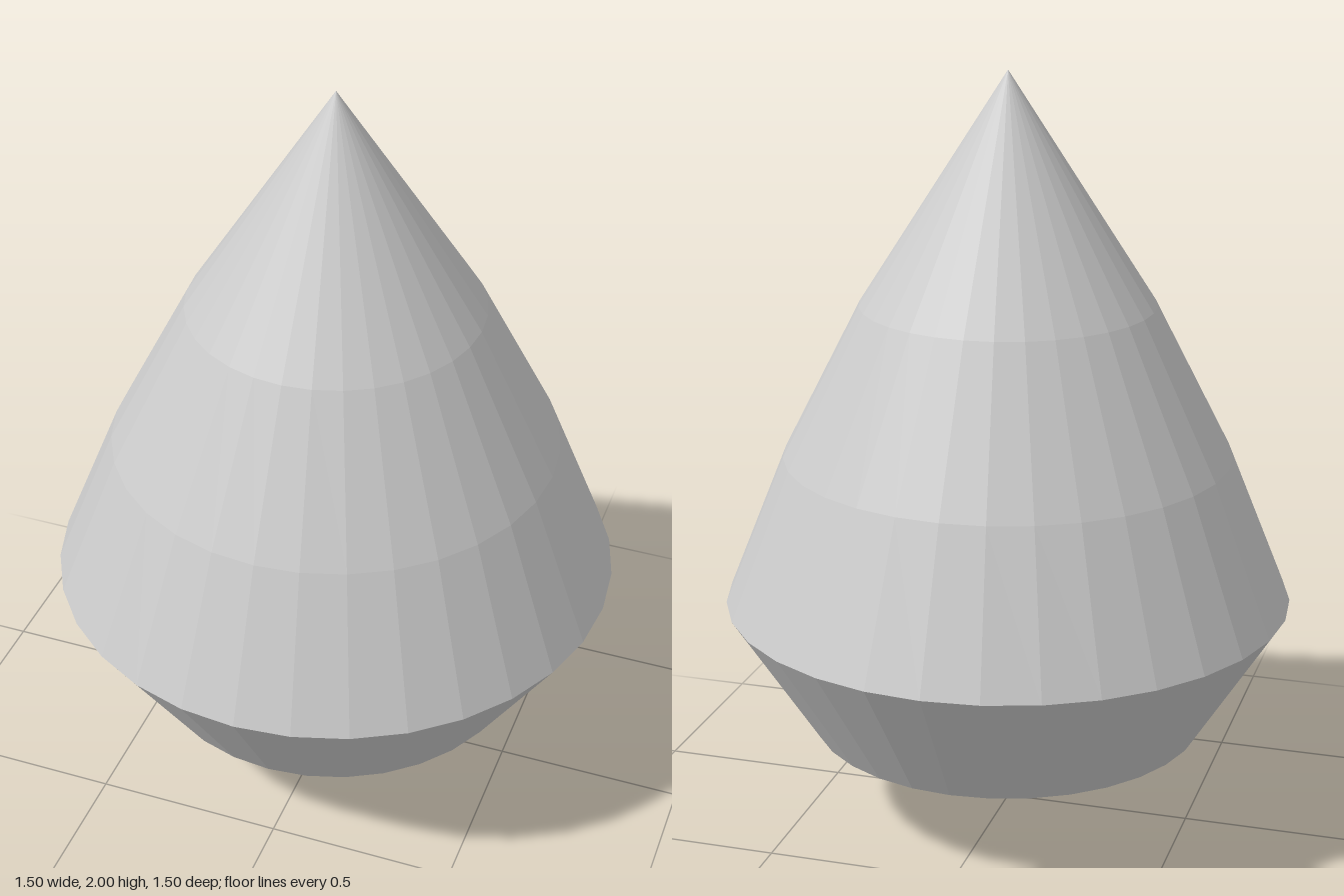
import * as THREE from 'three';

const SIDES = 32;

// Faceted surface of revolution; profile is [radius, height] from bottom to top.
function turned(name, profile, material) {
  const points = profile.map(([r, y]) => new THREE.Vector2(r, y));
  const mesh = new THREE.Mesh(new THREE.LatheGeometry(points, SIDES), material);
  mesh.name = name;
  return mesh;
}

export function createModel() {
  const group = new THREE.Group();
  group.name = 'facetedDrop';
  const material = new THREE.MeshStandardMaterial({ color: 0xcccccc, flatShading: true });

  // Shallow point underneath
  group.add(turned('bottomTip', [[0, 0], [0.525, 0.25]], material));
  // Band flaring out to the widest rim
  group.add(turned('lowerBand', [[0.525, 0.25], [0.75, 0.605]], material));
  // Tall bulging cone up to the apex
  group.add(turned('upperCone', [[0.75, 0.605], [0.59, 1.0], [0.385, 1.4], [0, 2]], material));

  return group;
}
